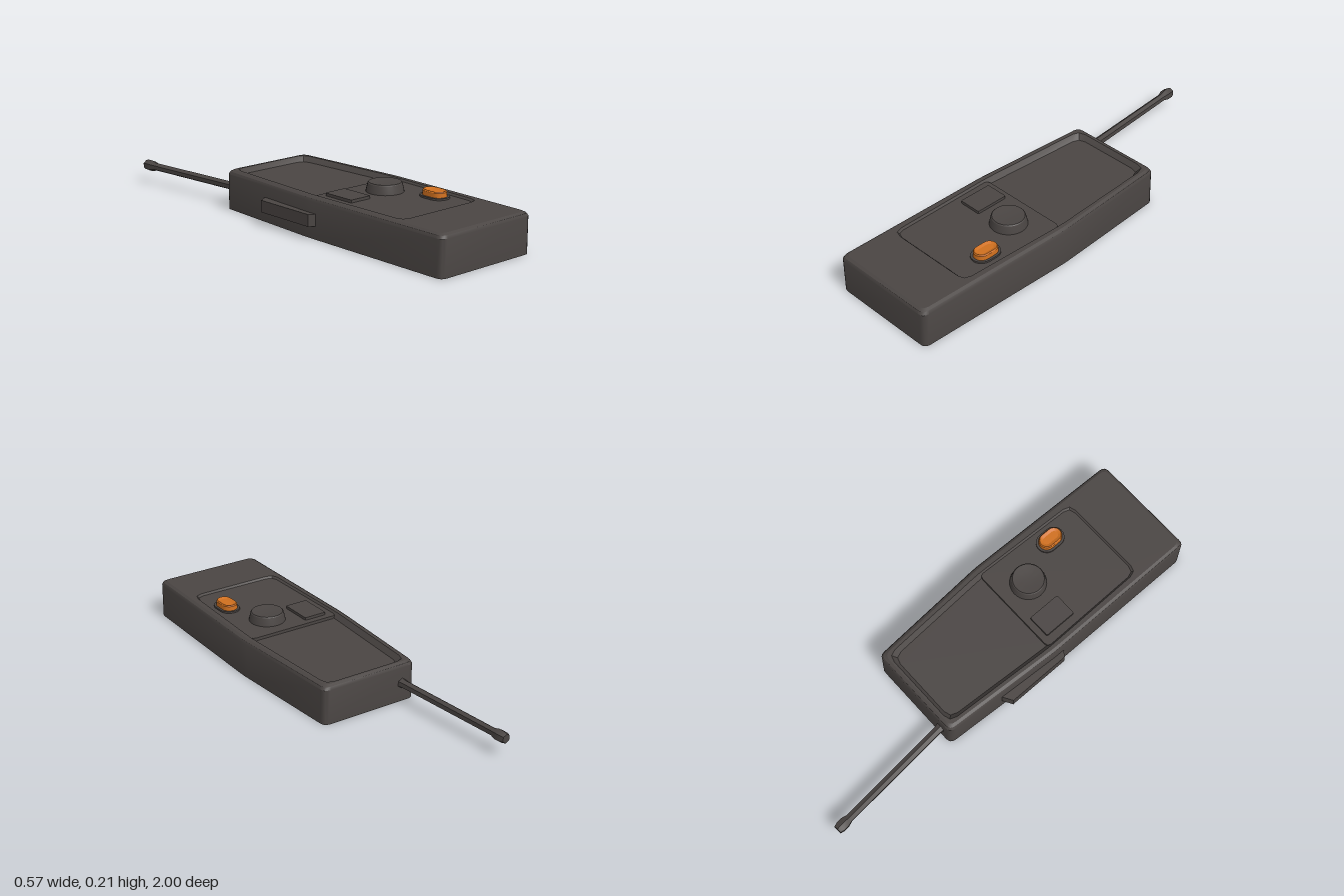
import * as THREE from 'three';
import { toCreasedNormals } from 'three/addons/utils/BufferGeometryUtils.js';

// Round the corners of a plan polygon of [x, z] points
function rounded(pts, r, n = 4) {
  const v = pts.map(p => new THREE.Vector2(...p)), out = [];
  v.forEach((p, i) => {
    const a = v[(i + v.length - 1) % v.length], b = v[(i + 1) % v.length];
    const s = p.clone().add(a.clone().sub(p).setLength(r));
    const e = p.clone().add(b.clone().sub(p).setLength(r));
    out.push(...new THREE.QuadraticBezierCurve(s, p, e).getPoints(n));
  });
  return out;
}

// Plan outline with round ends, long along z
function stadium(cx, cz, r, half, n = 10) {
  const out = [];
  for (const end of [-1, 1]) for (let i = 0; i <= n; i++) {
    const a = Math.PI * i / n + (end < 0 ? Math.PI : 0);
    out.push(new THREE.Vector2(cx + r * Math.cos(a), cz + end * half + r * Math.sin(a)));
  }
  return out;
}

const planShape = pts => new THREE.Shape(pts.map(p => new THREE.Vector2(p.x, -p.y)));

// Upward-facing plan surface at height y
function face(pts, y, hole) {
  const s = planShape(pts);
  if (hole) s.holes.push(planShape(hole));
  return new THREE.ShapeGeometry(s).rotateX(-Math.PI / 2).translate(0, y, 0);
}

// Solid plan shape between two heights
function slab(pts, y0, y1) {
  return new THREE.ExtrudeGeometry(planShape(pts), { depth: y1 - y0, bevelEnabled: false })
    .rotateX(-Math.PI / 2).translate(0, y0, 0);
}

// Wall through matching plan rings, each [points, height]
function loft(rings) {
  const pos = [], idx = [], n = rings[0][0].length;
  for (const [pts, y] of rings) for (const p of pts) pos.push(p.x, y, p.y);
  for (let r = 0; r < rings.length - 1; r++) for (let j = 0; j < n; j++) {
    const a = r * n + j, b = r * n + (j + 1) % n;
    idx.push(a, a + n, b, b, a + n, b + n);
  }
  const g = new THREE.BufferGeometry();
  g.setAttribute('position', new THREE.Float32BufferAttribute(pos, 3));
  g.setIndex(idx);
  return toCreasedNormals(g, 0.5);
}

// Body plan, pulled in by i
const bodyPlan = i => rounded([
  [-0.222 + i, -0.37 + i], [0.247 - i, -0.37 + i], [0.282 - i, 0.22],
  [0.265 - i, 1 - i], [-0.257 + i, 1 - i], [-0.257 + i, 0.22]], 0.03);

// Recess plan, pulled in by i
const recessPlan = i => rounded([
  [-0.19 + i, -0.342 + i], [0.217 - i, -0.342 + i], [0.245 - i, 0.21],
  [0.225 - i, 0.745 - i], [-0.215 + i, 0.745 - i], [-0.222 + i, 0.21]], 0.04, 2);

export function createModel() {
  const model = new THREE.Group();
  const dark = new THREE.MeshStandardMaterial({ color: 0x4a4543 });
  dark.name = 'charcoal plastic';
  const orange = new THREE.MeshStandardMaterial({ color: 0xd0701f });
  orange.name = 'orange plastic';
  const add = (name, geo, mat = dark, parent = model) => {
    const m = new THREE.Mesh(geo, mat);
    m.name = name;
    parent.add(m);
    return m;
  };

  // Case: walls with a bevelled top edge, rim and sunken floor
  const body = new THREE.Group();
  body.name = 'body';
  model.add(body);
  const top = 0.181, floor = 0.158;
  add('caseWalls', loft([[bodyPlan(0), 0], [bodyPlan(0), 0.162], [bodyPlan(0.006), 0.174],
    [bodyPlan(0.018), top]]), dark, body);
  add('caseRim', face(bodyPlan(0.018), top, recessPlan(0)), dark, body);
  add('recessWall', loft([[recessPlan(0), top], [recessPlan(0.018), floor]]), dark, body);
  add('recessFloor', face(recessPlan(0.018), floor), dark, body);
  const base = new THREE.Shape(bodyPlan(0));
  add('caseBottom', new THREE.ShapeGeometry(base).rotateX(Math.PI / 2), dark, body);

  // Control panel, one step above the recess floor
  const panel = rounded([[-0.214, 0.21], [0.237, 0.21], [0.217, 0.737], [-0.207, 0.737]], 0.02, 2);
  add('controlPanel', slab(panel, floor - 0.002, 0.172));

  // Square button
  const button = rounded([[-0.175, 0.24], [-0.065, 0.24], [-0.065, 0.4], [-0.175, 0.4]], 0.006, 2);
  add('squareButton', slab(button, 0.168, 0.185));

  // Round knob with a slightly dished top
  const knob = [[0.084, 0.168], [0.081, 0.185], [0.075, 0.21], [0.071, 0.214], [0.04, 0.211], [0, 0.209]]
    .map(p => new THREE.Vector2(...p));
  add('knob', toCreasedNormals(new THREE.LatheGeometry(knob, 32), 0.5)).position.set(0.07, 0, 0.35);

  // Oblong push button in a dark surround
  add('buttonSurround', slab(stadium(0.156, 0.562, 0.048, 0.022), 0.168, 0.18));
  const oblong = (r) => stadium(0.156, 0.562, r, 0.022);
  add('pushButton', loft([[oblong(0.038), 0.17], [oblong(0.036), 0.2], [oblong(0.032), 0.205],
    [oblong(0.018), 0.199]]), orange);
  add('pushButtonDish', face(oblong(0.018), 0.199), orange);

  // Side key with sloped ends
  const key = [[-0.225, -0.09], [-0.284, -0.055], [-0.284, 0.25], [-0.225, 0.29]]
    .map(p => new THREE.Vector2(...p));
  add('sideKey', slab(key, 0.058, 0.112));

  // Leaning six-sided antenna with a thicker tip
  const start = new THREE.Vector3(-0.157, 0.086, -0.36), end = new THREE.Vector3(-0.211, 0.086, -0.998);
  const len = start.distanceTo(end);
  const rod = [[0, 0], [0.025, 0], [0.02, 0.03], [0.019, len - 0.07], [0.027, len - 0.045],
    [0.027, len - 0.018], [0.021, len], [0, len]].map(p => new THREE.Vector2(...p));
  const antenna = add('antenna', toCreasedNormals(new THREE.LatheGeometry(rod, 6), 0.3));
  antenna.position.copy(start);
  antenna.quaternion.setFromUnitVectors(new THREE.Vector3(0, 1, 0), end.clone().sub(start).normalize());

  return model;
}
